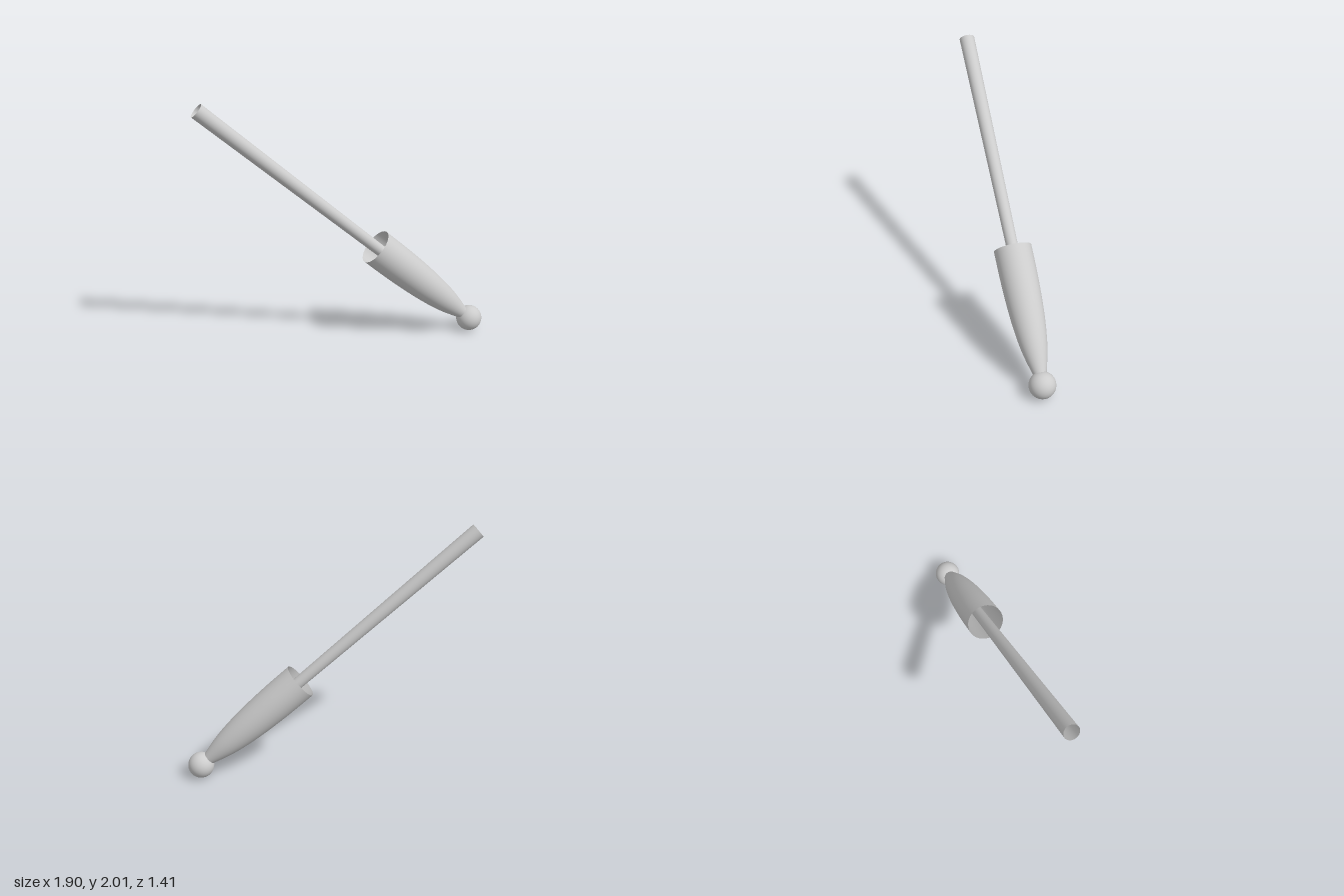
import * as THREE from 'three';

export function createModel() {
  const model = new THREE.Group();
  model.name = 'ballTippedRod';
  const grey = new THREE.MeshStandardMaterial({ color: 0xcccccc, side: THREE.DoubleSide });
  grey.name = 'light grey';

  const tip = new THREE.Vector3(0.842, 0.105, 0.6);
  const end = new THREE.Vector3(-0.905, 1.962, -0.655);
  const axis = end.clone().sub(tip);
  const length = axis.length();

  // Everything is built along +y from the ball centre, then tilted as one
  const tool = new THREE.Group();
  tool.name = 'tiltedParts';
  tool.position.copy(tip);
  tool.quaternion.setFromUnitVectors(new THREE.Vector3(0, 1, 0), axis.normalize());
  model.add(tool);

  const add = (name, geometry) => {
    const mesh = new THREE.Mesh(geometry, grey);
    mesh.name = name;
    tool.add(mesh);
    return mesh;
  };

  // Ball at the foot
  add('ball', new THREE.SphereGeometry(0.103, 48, 32));

  // Hollow bullet-shaped sleeve, open at the wide end
  const profile = new THREE.SplineCurve([
    [0.05, 0.08], [0.098, 0.27], [0.128, 0.5], [0.143, 0.78], [0.146, 1.06],
  ].map(([r, y]) => new THREE.Vector2(r, y)));
  add('sleeve', new THREE.LatheGeometry(profile.getPoints(24), 48));

  // Hollow rod, slightly wider toward its open upper end
  const start = 0.08;
  const rod = add('rod', new THREE.CylinderGeometry(0.06, 0.038, length - start, 32, 1, true));
  rod.position.y = (length + start) / 2;

  return model;
}
